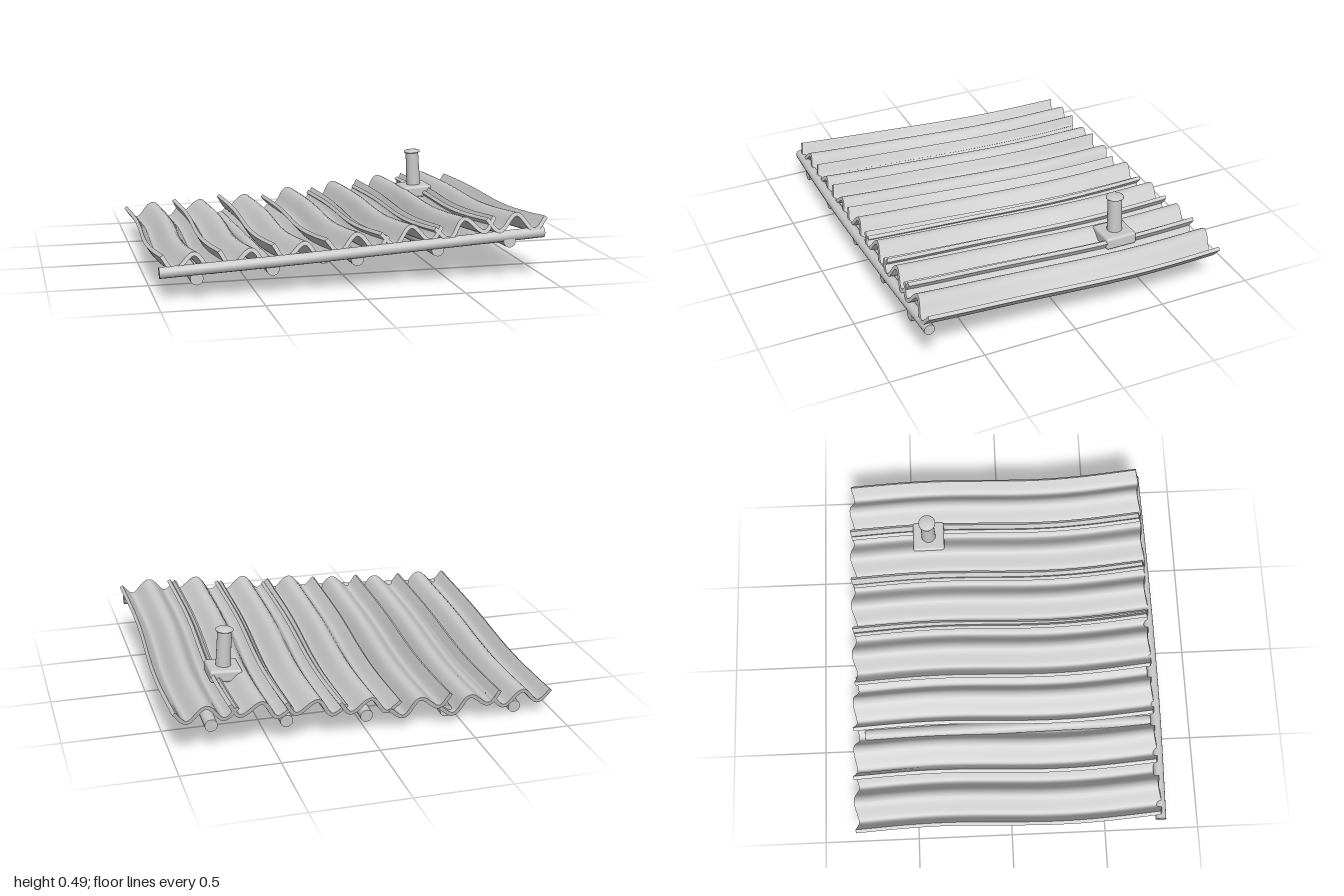
import * as THREE from 'three';
import { RoundedBoxGeometry } from 'three/addons/geometries/RoundedBoxGeometry.js';

const grey = new THREE.MeshStandardMaterial({ color: 0xcacaca });
grey.name = 'lightGrey';

function add(parent, name, geometry) {
  const mesh = new THREE.Mesh(geometry, grey);
  mesh.name = name;
  parent.add(mesh);
  return mesh;
}

// Each sheet: crest x, crest height at the front, roll at the front and at the back
const sheetSpecs = [
  [-0.815, 0.23, -0.1, -0.03],
  [-0.535, 0.234, -0.14, -0.2],
  [-0.268, 0.253, -0.13, -0.18],
  [0, 0.285, 0, 0.1],
  [0.28, 0.31, 0.06, 0.17],
  [0.56, 0.334, 0.14, 0.18],
  [0.832, 0.345, -0.01, 0.02],
];

// One corrugated sheet: a subdivided slab bent into lip, trough, crest, trough, lip.
function sheetGeometry([cx, crestY, rollFront, rollBack]) {
  const amp = 0.04, wave = Math.PI * 2 / 0.188, front = 0.792, back = -0.822;
  const g = new THREE.BoxGeometry(0.316, 0.02, front - back, 32, 1, 36);
  const p = g.attributes.position;
  for (let k = 0; k < p.count; k++) {
    const u = p.getX(k), t = p.getY(k), z = p.getZ(k) + (front + back) / 2;
    const slope = -amp * wave * Math.sin(u * wave);
    const len = Math.hypot(1, slope);
    const px = u - (slope / len) * t;
    const h = amp * Math.cos(u * wave) + t / len;
    // Sideways wobble, sag towards the back, and a slight twist along the length
    const s = (z - back) / (front - back);
    const wobble = 0.012 * Math.sin(z * 4.4 + 3.3);
    const sag = 0.075 * (Math.pow(s, 2.2) - 1) + 0.004 * Math.sin(Math.PI * 2 * s);
    const roll = THREE.MathUtils.lerp(rollBack, rollFront, s);
    const rise = h + px * roll;
    p.setXYZ(k, cx + wobble + px - h * roll, crestY - 0.05 + sag + rise, z - 0.25 * rise);
  }
  g.computeVertexNormals();
  return g;
}

export function createModel() {
  const model = new THREE.Group();
  model.name = 'corrugatedRoof';

  // Roofing sheets, rising gently to the left side of the model
  const sheets = new THREE.Group();
  sheets.name = 'roofSheets';
  model.add(sheets);
  sheetSpecs.forEach((spec, i) => add(sheets, 'roofSheet' + (i + 1), sheetGeometry(spec)));

  // Round rafters sloping down to the back
  const rafters = new THREE.Group();
  rafters.name = 'rafters';
  model.add(rafters);
  [-0.8, -0.425, 0, 0.415, 0.795].forEach((x, i) => {
    const g = new THREE.CylinderGeometry(0.033, 0.033, 1.586, 12);
    g.rotateX(Math.PI / 2 - 0.044);
    add(rafters, 'rafter' + (i + 1), g).position.set(x, 0.068 + 0.025 * i, 0.017);
  });

  // Slightly bowed pole across the front, closed at both ends
  const path = new THREE.CatmullRomCurve3([
    new THREE.Vector3(-0.98, 0.136, 0.79), new THREE.Vector3(-0.35, 0.167, 0.802),
    new THREE.Vector3(0.3, 0.202, 0.797), new THREE.Vector3(0.985, 0.236, 0.78)]);
  const pole = new THREE.Group();
  pole.name = 'frontPole';
  model.add(pole);
  add(pole, 'poleShaft', new THREE.TubeGeometry(path, 24, 0.028, 14));
  [0, 1].forEach((t) => {
    const cap = add(pole, 'poleEnd', new THREE.CircleGeometry(0.028, 14));
    cap.position.copy(path.getPointAt(t));
    const out = path.getTangentAt(t).multiplyScalar(t ? 1 : -1);
    cap.quaternion.setFromUnitVectors(new THREE.Vector3(0, 0, 1), out);
  });

  // Chimney: rounded base block, leaning pipe and rimmed, slightly domed cap
  const chimney = new THREE.Group();
  chimney.name = 'chimney';
  chimney.position.set(0.652, 0.25, -0.395);
  chimney.rotation.z = 0.06;
  model.add(chimney);
  add(chimney, 'chimneyBase', new RoundedBoxGeometry(0.168, 0.065, 0.172, 3, 0.014));
  add(chimney, 'chimneyPipe', new THREE.CylinderGeometry(0.036, 0.04, 0.22, 24)).position.y = 0.115;
  const rim = [[0, 0], [0.04, 0], [0.046, 0.004], [0.046, 0.01], [0.04, 0.014], [0.02, 0.018], [0, 0.019]];
  add(chimney, 'chimneyCap', new THREE.LatheGeometry(rim.map(([r, y]) => new THREE.Vector2(r, y)), 24))
    .position.y = 0.217;

  return model;
}
